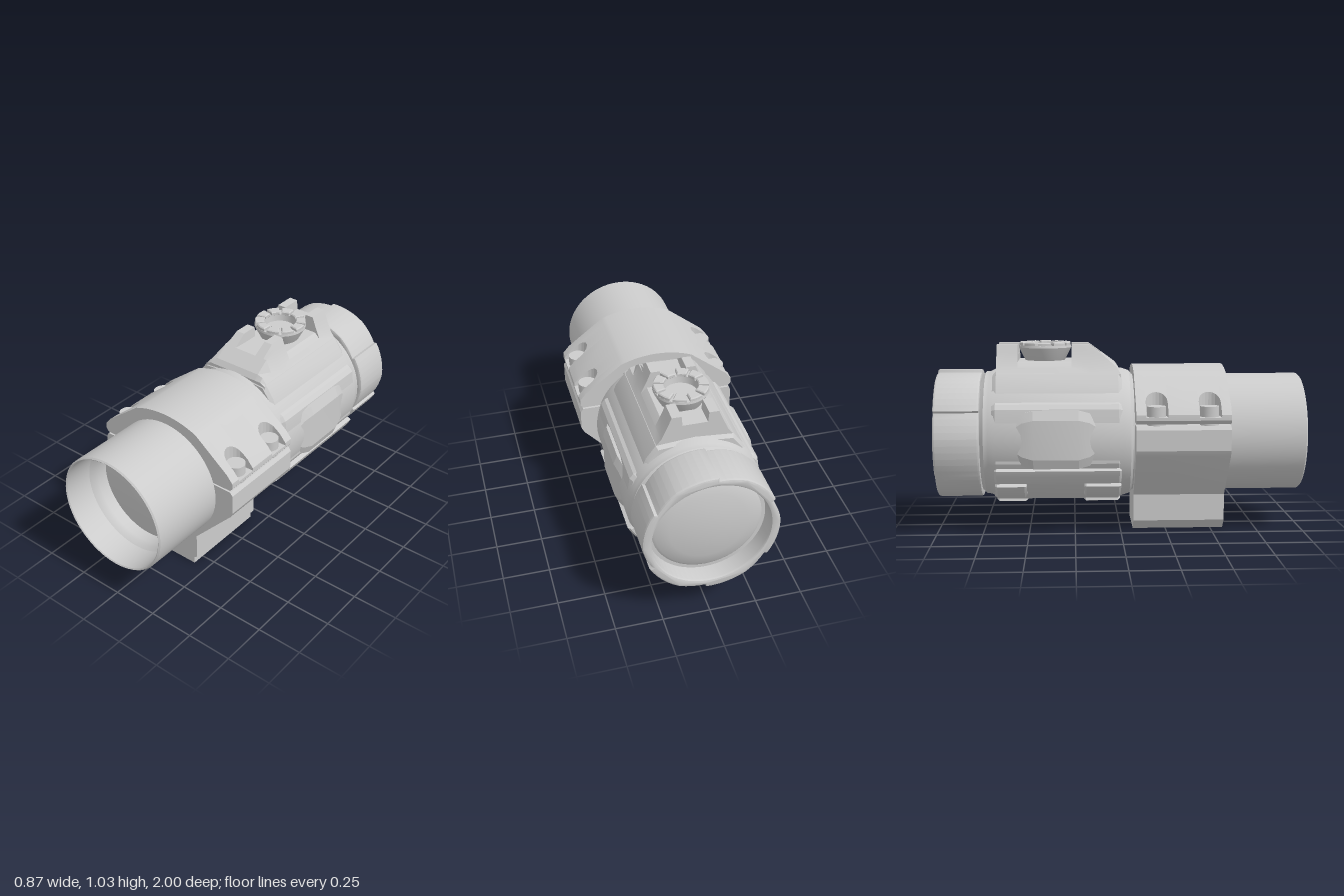
import * as THREE from 'three';
import { toCreasedNormals } from 'three/addons/utils/BufferGeometryUtils.js';

const AXIS = 0.525; // height of the optical axis
const material = new THREE.MeshStandardMaterial({ color: 0xcccccc });

function part(parent, name, geometry, crease = 0.5) {
  const mesh = new THREE.Mesh(toCreasedNormals(geometry, crease), material);
  mesh.name = name;
  parent.add(mesh);
  return mesh;
}

// Right half of an outline, bottom to top, mirrored into a closed loop
const mirror = half => [...half, ...half.slice().reverse().filter(p => p[0] > 0).map(([x, y]) => [-x, y])];

// Skin over sections { z, pts }, with z rising and points counter-clockwise
function loft(sections) {
  const pos = [];
  const put = (s, i) => pos.push(s.pts[i][0], s.pts[i][1], s.z);
  const n = sections[0].pts.length;
  for (let k = 0; k < sections.length - 1; k++) {
    const a = sections[k], b = sections[k + 1];
    for (let i = 0; i < n; i++) {
      const j = (i + 1) % n;
      put(a, i); put(a, j); put(b, j);
      put(a, i); put(b, j); put(b, i);
    }
  }
  for (const [s, order] of [[sections[0], [2, 1, 0]], [sections.at(-1), [0, 1, 2]]]) {
    const faces = THREE.ShapeUtils.triangulateShape(s.pts.map(p => new THREE.Vector2(...p)), []);
    for (const f of faces) for (const o of order) put(s, f[o]);
  }
  const g = new THREE.BufferGeometry();
  g.setAttribute('position', new THREE.Float32BufferAttribute(pos, 3));
  return g;
}

// Turned part on the optical axis, profile as [radius, z]
function turned(profile) {
  return new THREE.LatheGeometry(profile.map(p => new THREE.Vector2(...p)), 64)
    .rotateX(Math.PI / 2).translate(0, AXIS, 0);
}

// Curved block between two radii and two angles, extruded along z
function arcBlock(r0, r1, a0, a1, depth, bevel) {
  const s = new THREE.Shape();
  s.absarc(0, 0, r1, a0, a1, false);
  s.absarc(0, 0, r0, a1, a0, true);
  return new THREE.ExtrudeGeometry(s, {
    depth: depth - 2 * bevel, curveSegments: 8, bevelEnabled: bevel > 0,
    bevelSize: bevel, bevelThickness: bevel, bevelOffset: -bevel, bevelSegments: 1,
  }).translate(0, 0, bevel);
}

function addTube(group) {
  part(group, 'frontTube', turned([
    [0.325, 0.05], [0.325, 0.992], [0.318, 1], [0.312, 0.995], [0.308, 0.84],
    [0.292, 0.82], [0.285, 0.80], [0.285, 0.72],
  ]));
  part(group, 'frontLens', turned([[0.29, 0.74], [0.2, 0.755], [0.1, 0.764], [0, 0.767]]));
}

function addMount(group) {
  const mount = new THREE.Group();
  mount.name = 'ringMount';
  group.add(mount);

  // Lower half with the foot, one foot edge chamfered
  const lower = [
    [-0.135, 0], [0.17, 0], [0.17, 0.04], [0.19, 0.055], [0.19, 0.2], [0.42, 0.45], [0.435, 0.48],
    [0.435, 0.59], [0.42, 0.61], [-0.42, 0.61], [-0.435, 0.59], [-0.435, 0.48], [-0.42, 0.45],
    [-0.19, 0.2], [-0.19, 0.055],
  ];
  part(mount, 'lowerClamp', loft([{ z: 0.07, pts: lower }, { z: 0.57, pts: lower }]), 0.3);

  // Upper half: d is the inner wall of a screw pocket, null where the flank is whole
  const crown = [];
  for (let i = 0; i <= 8; i++) {
    const x = 0.2 * (1 - i / 8);
    crown.push([x, 0.385 + Math.sqrt(0.52 ** 2 - x * x)]);
  }
  const upper = d => mirror([
    [0.33, 0.62], [0.42, 0.62], [0.435, 0.64], [0.435, 0.655],
    ...(d === null ? [[0.434, 0.67], [0.4, 0.71]] : [[d, 0.655], [d, 0.865 - 0.775 * (d - 0.2)]]),
    ...crown,
  ]);
  const sections = [{ z: 0.07, pts: upper(null) }];
  const R = 0.058;
  for (const z of [0.18, 0.46]) {
    sections.push({ z: z - R, pts: upper(null) });
    for (let i = 0; i <= 10; i++) {
      const a = Math.PI * i / 10;
      sections.push({ z: z - R * Math.cos(a), pts: upper(0.37 - R * Math.sin(a)) });
    }
    sections.push({ z: z + R, pts: upper(null) });
    for (const x of [-0.37, 0.37]) {
      part(mount, 'clampScrew', new THREE.CylinderGeometry(0.05, 0.05, 0.12, 24).translate(x, 0.65, z));
    }
  }
  sections.push({ z: 0.57, pts: upper(null) });
  part(mount, 'upperClamp', loft(sections), 0.3);
}

function addHousing(group) {
  const housing = new THREE.Group();
  housing.name = 'housing';
  group.add(housing);

  part(housing, 'housingCore', turned([
    [0.3, -0.78], [0.325, -0.75], [0.34, -0.735], [0.342, -0.71], [0.358, -0.68],
    [0.358, 0.01], [0.345, 0.05], [0.33, 0.063], [0.3, 0.065],
  ]));

  // Faceted shell with chamfered ends
  const shell = mirror([
    [0, 0.16], [0.14, 0.175], [0.22, 0.235], [0.3, 0.32], [0.34, 0.4], [0.347, 0.5], [0.345, 0.62],
    [0.335, 0.69], [0.315, 0.715], [0.275, 0.735], [0.25, 0.80], [0.2, 0.868], [0, 0.885],
  ]);
  const scaled = s => shell.map(([x, y]) => [x * s, AXIS + (y - AXIS) * s]);
  part(housing, 'housingShell', loft([
    { z: -0.69, pts: scaled(0.96) }, { z: -0.67, pts: shell },
    { z: -0.015, pts: shell }, { z: 0.005, pts: scaled(0.96) },
  ]), 0.3);

  // Bulging grip pads on both sides
  for (const side of [-1, 1]) {
    const pad = (z, x, h) => ({
      z, pts: [[0.3, -h], [x - 0.02, -h], [x, -h + 0.05], [x, h - 0.05], [x - 0.02, h], [0.3, h]]
        .map(([px, y]) => [px * side, 0.53 + y]),
    });
    const stations = [[-0.59, 0.342, 0.1], [-0.53, 0.358, 0.14], [-0.47, 0.372, 0.155],
      [-0.23, 0.372, 0.155], [-0.17, 0.358, 0.14], [-0.11, 0.342, 0.1]].map(s => pad(...s));
    if (side < 0) stations.forEach(s => s.pts.reverse());
    part(housing, 'sideGripPad', loft(stations), 0.3);
  }

  // Lower rails and feet on the underside, given as [start degrees, end degrees, z0, z1]
  const rad = THREE.MathUtils.degToRad;
  const blocks = [[-38, -25, -0.68, 0.0], [-142 - 13, -142, -0.68, 0.0]];
  for (const [z0, z1] of [[-0.68, -0.51], [-0.2, 0]]) {
    blocks.push([-60, -42, z0, z1], [-138, -120, z0, z1], [-105, -75, z0, z1]);
  }
  for (const [a0, a1, z0, z1] of blocks) {
    part(housing, 'lowerRail', arcBlock(0.33, 0.386, rad(a0), rad(a1), z1 - z0, 0.012)
      .translate(0, AXIS, z0));
  }
}

function addTurret(group) {
  const turret = new THREE.Group();
  turret.name = 'turret';
  group.add(turret);

  // Hump with a lengthwise channel, cut down to a given height along z
  const hump = top => mirror([
    [0.21, 0.80], [0.2, 0.865], [0.172, 0.90], [0.14, 0.97], [0.132, 0.99], [0.12, 1.02],
    [0.07, 1.02], [0.065, 0.965],
  ]).map(([x, y]) => [x, Math.min(y, top)]);
  part(turret, 'turretBase', loft([
    [-0.67, 1.02], [-0.555, 1.02], [-0.555, 0.93], [-0.265, 0.93], [-0.265, 1.02],
    [-0.17, 1.02], [-0.095, 0.965], [-0.02, 0.91], [0, 0.88],
  ].map(([z, top]) => ({ z, pts: hump(top) }))), 0.3);

  // Dished knob with a notched rim
  const knob = new THREE.Group();
  knob.name = 'knob';
  knob.position.set(0, 0, -0.41);
  turret.add(knob);
  const profile = [[0, 0.92], [0.105, 0.925], [0.112, 0.935], [0.145, 1.0], [0.143, 1.012],
    [0.09, 1.012], [0.085, 0.975], [0, 0.975]].map(p => new THREE.Vector2(...p));
  part(knob, 'knobBody', new THREE.LatheGeometry(profile, 40));
  const count = 10, step = Math.PI * 2 / count;
  for (let i = 0; i < count; i++) {
    const a = Math.PI / 2 + i * step;
    part(knob, 'knobTooth', arcBlock(0.088, 0.142, a + 0.06, a + step - 0.06, 0.024, 0.005)
      .rotateX(-Math.PI / 2).translate(0, 1.006, 0));
  }
}

function addRearRing(group) {
  // Sawtooth outline: each grip segment ramps outward, then steps back
  const outline = new THREE.Shape();
  const teeth = 6, steps = 10;
  for (let t = 0; t < teeth; t++) {
    for (let i = 0; i <= steps; i++) {
      const a = Math.PI * 2 * (t + (i / steps) * 0.985) / teeth + 1.65;
      const r = 0.338 + 0.016 * Math.min(1, i / 4);
      outline[t + i ? 'lineTo' : 'moveTo'](r * Math.cos(a), r * Math.sin(a));
    }
  }
  outline.closePath();
  const bore = new THREE.Path();
  bore.absarc(0, 0, 0.305, 0, Math.PI * 2, true);
  outline.holes.push(bore);
  part(group, 'rearRing', new THREE.ExtrudeGeometry(outline, {
    depth: 0.221, curveSegments: 32, bevelSize: 0.012, bevelThickness: 0.012,
    bevelOffset: -0.012, bevelSegments: 2,
  }).translate(0, AXIS, -0.988), 0.4);
  part(group, 'rearLens', turned([
    [0, -0.945], [0.1, -0.941], [0.2, -0.928], [0.27, -0.91], [0.285, -0.9], [0.315, -0.9],
  ]));
}

export function createModel() {
  const group = new THREE.Group();
  group.name = 'opticalSight';
  addTube(group);
  addMount(group);
  addHousing(group);
  addTurret(group);
  addRearRing(group);
  return group;
}
